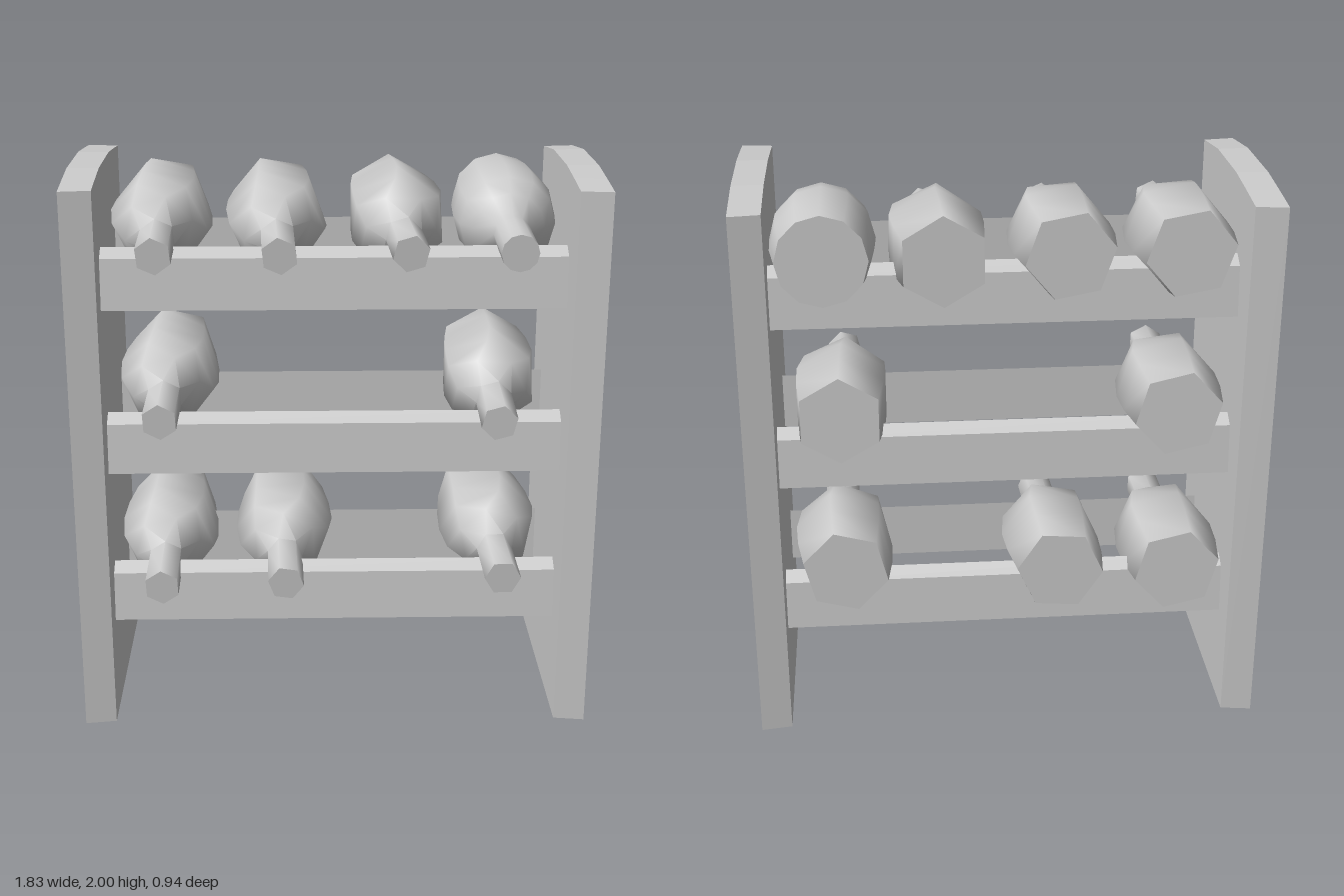
import * as THREE from 'three';
import { toCreasedNormals } from 'three/addons/utils/BufferGeometryUtils.js';

const material = new THREE.MeshStandardMaterial({ color: 0xcccccc });

// Extrudes a (z, y) outline along x, centred on x = 0.
function extrudeAlongX(outline, width) {
  const shape = new THREE.Shape(outline.map(([z, y]) => new THREE.Vector2(z, y)));
  const geometry = new THREE.ExtrudeGeometry(shape, { depth: width, bevelEnabled: false });
  return geometry.translate(0, 0, -width / 2).rotateY(-Math.PI / 2);
}

// Upright side board: arched top, inner face a little narrower.
function sidePanel(name) {
  const geometry = extrudeAlongX([
    [-0.43, 0], [0.44, 0], [0.47, 1.97], [0.32, 1.985], [0.15, 2],
    [-0.17, 2], [-0.3, 1.985], [-0.425, 1.97],
  ], 0.11);
  const p = geometry.attributes.position;
  for (let i = 0; i < p.count; i++) if (p.getX(i) < 0) p.setZ(i, p.getZ(i) * 0.965);
  geometry.computeVertexNormals();
  geometry.translate(0.86, 0, 0);
  const mesh = new THREE.Mesh(geometry, material);
  mesh.name = name;
  return mesh;
}

// Cross rail with a top edge sloping outwards.
function rail(name, y, side) {
  const geometry = extrudeAlongX([[0.235, 0], [0.3, 0], [0.285, 0.18], [0.235, 0.21]], 1.63);
  const mesh = new THREE.Mesh(geometry, material);
  mesh.name = name;
  mesh.position.y = y;
  if (side < 0) mesh.rotation.y = Math.PI;
  return mesh;
}

// Faceted bottle lying along z; the neck is twisted against the body.
function bottleGeometry(sides, twist) {
  const profile = [
    [0, -0.38], [0.157, -0.38], [0.178, -0.22], [0.184, -0.08], [0.17, 0.04],
    [0.125, 0.1], [0.065, 0.18], [0.065, 0.42], [0, 0.42],
  ].map(([r, z]) => new THREE.Vector2(r, z));
  const geometry = new THREE.LatheGeometry(profile, sides);
  geometry.rotateX(Math.PI / 2);
  const p = geometry.attributes.position;
  const v = new THREE.Vector3();
  const axis = new THREE.Vector3(0, 0, 1);
  for (let i = 0; i < p.count; i++) {
    v.fromBufferAttribute(p, i);
    v.applyAxisAngle(axis, twist * THREE.MathUtils.smoothstep(v.z, 0, 0.18));
    p.setXYZ(i, v.x, v.y, v.z);
  }
  return toCreasedNormals(geometry, 1.15);
}

export function createModel() {
  const model = new THREE.Group();
  model.name = 'bottleRack';

  // Side boards, one turned half round
  const rightPanel = sidePanel('rightPanel');
  rightPanel.rotation.y = Math.PI;
  model.add(sidePanel('leftPanel'), rightPanel);

  // Front and back rails of the three shelves
  ['lower', 'middle', 'upper'].forEach((level, i) => {
    const y = [0.355, 0.93, 1.53][i];
    model.add(rail(level + 'FrontRail', y, 1), rail(level + 'BackRail', y, -1));
  });

  // Bottles: x, y, z shift, roll in degrees, yaw, full round body
  const twisted = bottleGeometry(6, 0.8);
  const round = bottleGeometry(12, 0);
  const bottles = [
    [-0.615, 1.77, 0, 20, 0.01],
    [-0.2, 1.77, 0.005, 20, 0.03],
    [0.235, 1.77, -0.02, 0, 0.05],
    [0.62, 1.775, 0, 0, 0, true],
    [-0.605, 1.185, 0, 17, -0.01],
    [0.575, 1.185, 0.03, 0, -0.02],
    [-0.62, 0.56, 0, 17, 0],
    [-0.185, 0.575, 0.005, 35, 0.02],
    [0.59, 0.595, 0.02, -15, 0.02],
  ];
  bottles.forEach(([x, y, z, roll, yaw, isRound], i) => {
    const bottle = new THREE.Mesh(isRound ? round : twisted, material);
    bottle.name = 'bottle' + (i + 1);
    bottle.position.set(x, y, z);
    bottle.rotation.set(0.05, yaw, THREE.MathUtils.degToRad(roll));
    model.add(bottle);
  });
  return model;
}
